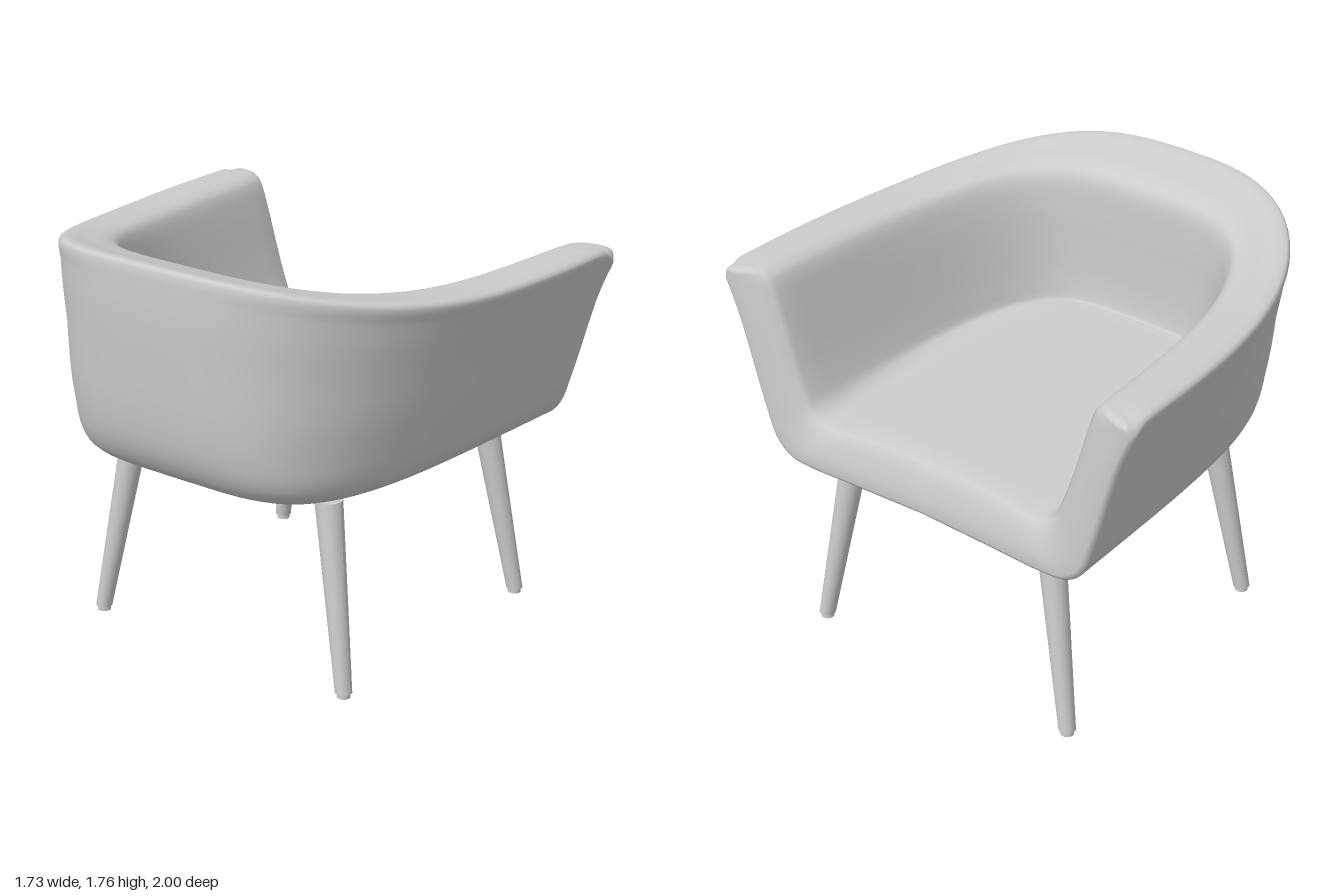
import * as THREE from 'three';
import { mergeVertices } from 'three/addons/utils/BufferGeometryUtils.js';

const material = new THREE.MeshStandardMaterial({ color: 0xcccccc, roughness: 0.8 });

// Profile of the shell, from under the seat, over the rim, to the top of the seat:
// [half width, x of the back, height, squareness of the back corners, narrowing to the back]
const PROFILE = [
  [0, -0.25, 0.822, 5, 0.08], [0.35, -0.4, 0.81, 5, 0.08], [0.61, -0.55, 0.802, 5, 0.08],
  [0.7, -0.63, 0.815, 4.8, 0.08], [0.78, -0.755, 0.885, 4.2, 0.06], [0.835, -0.83, 1.04, 3.5, 0.04],
  [0.915, -0.86, 1.32, 3, 0.02], [0.98, -0.867, 1.53, 2.8, 0.01], [1, -0.862, 1.59, 2.8, 0.01],
  [0.985, -0.845, 1.61, 2.8, 0.01], [0.9, -0.74, 1.615, 3, 0.05],
  [0.83, -0.62, 1.61, 3.4, 0.1], [0.79, -0.57, 1.58, 3.6, 0.1], [0.75, -0.555, 1.47, 3.6, 0.1],
  [0.7, -0.55, 1.3, 3.7, 0.1], [0.645, -0.54, 1.14, 3.8, 0.09], [0.6, -0.515, 1.05, 4, 0.08],
  [0.53, -0.46, 1.015, 4, 0.08], [0.4, -0.38, 1.032, 4, 0.08], [0.2, -0.3, 1.05, 4, 0.08],
  [0, -0.25, 1.055, 4, 0.08],
];
const STEPS = 4, ROWS = (PROFILE.length - 1) * STEPS, COLS = 64;

// Front cap: [share of the way from outside to inside, x]
const CAP = [[0, 0.845], [0.04, 0.859], [0.1, 0.865], [0.35, 0.865], [0.75, 0.84], [0.92, 0.815], [1, 0.79]];

const { clamp, lerp, smoothstep } = THREE.MathUtils;

// One U-shaped horizontal ring for each profile point
function shellRings() {
  const curve = new THREE.CatmullRomCurve3(PROFILE.map(p => new THREE.Vector3(p[0], p[1], p[2])), false, 'centripetal');
  const rings = [];
  for (let j = 0; j <= ROWS; j++) {
    const p = curve.getPoint(j / ROWS), k = j / STEPS;
    const lo = PROFILE[Math.floor(k)], hi = PROFILE[Math.ceil(k)];
    const [power, narrowing] = [3, 4].map(n => lerp(lo[n], hi[n], k % 1));
    const width = Math.max(0, p.x);
    const front = k <= 8 ? 0.845 : Math.max(0.79, lerp(0.845, 0.79, (k - 8) / 2));
    const ring = [];
    for (let i = 0; i <= COLS; i++) {
      // columns gather towards the front edges
      const u = i / COLS, a = Math.PI * lerp(u, smoothstep(u, 0, 1), 0.9), c = Math.cos(a);
      const s = Math.pow(Math.abs(Math.sin(a)), 2 / power);
      const x = front - (front - p.y) * s;
      const z = width * (1 - narrowing * s) * Math.sign(c) * Math.pow(Math.abs(c), 2 / power);
      // the rim rises towards the back and dips at the ends of the arms
      const rise = 0.15 * Math.pow(Math.max(0, 0.3 - x) / 1.15, 2.5) * clamp((p.z - 1) / 0.6, 0, 1);
      const dip = 0.05 * Math.pow(clamp((x - 0.76) / 0.1, 0, 1), 2) * clamp((p.z - 1.4) / 0.15, 0, 1);
      // the seat levels out towards the back
      const level = clamp((0.79 - x) / 1.2, 0, 1) * clamp(k - 15, 0, 1);
      ring.push([x, lerp(p.z, Math.max(p.z, 1.08), level) + rise - dip, z]);
    }
    rings.push(ring);
  }
  return rings;
}

function shellGeometry() {
  const positions = [], index = [];
  const addGrid = (rows, flip) => {
    const start = positions.length / 3, n = rows[0].length;
    rows.forEach(row => row.forEach(p => positions.push(...p)));
    for (let j = 0; j < rows.length - 1; j++) {
      for (let i = 0; i < n - 1; i++) {
        const a = start + j * n + i, b = a + n, c = b + 1, d = a + 1;
        if (flip) index.push(a, d, c, a, c, b);
        else index.push(a, b, c, a, c, d);
      }
    }
  };
  const rings = shellRings();
  addGrid(rings, false);

  // front faces of the two halves, bulging between outer and inner edge
  for (const i of [0, COLS]) {
    const rows = [];
    for (let j = 0; j <= ROWS / 2; j++) {
      const o = rings[j][i], n = rings[ROWS - j][i];
      const gap = clamp(Math.hypot(o[1] - n[1], o[2] - n[2]) / 0.17, 0, 1);
      rows.push(CAP.map(([v, x]) => [
        lerp(lerp(o[0], n[0], v), x, v === 0 || v === 1 ? 0 : gap),
        lerp(o[1], n[1], v),
        lerp(o[2], n[2], v),
      ]));
    }
    addGrid(rows, i === 0);
  }
  let geometry = new THREE.BufferGeometry();
  geometry.setAttribute('position', new THREE.Float32BufferAttribute(positions, 3));
  geometry.setIndex(index);
  geometry = mergeVertices(geometry, 1e-4);
  geometry.computeVertexNormals();
  return geometry;
}

// Tapered cylinder, slanted so that both ends stay level
function slantedCylinder(top, bottom, topRadius, bottomRadius) {
  const h = top.y - bottom.y;
  const geometry = new THREE.CylinderGeometry(topRadius, bottomRadius, h, 24);
  geometry.translate(0, h / 2, 0);
  geometry.applyMatrix4(new THREE.Matrix4().set(
    1, (top.x - bottom.x) / h, 0, bottom.x,
    0, 1, 0, bottom.y,
    0, (top.z - bottom.z) / h, 1, bottom.z,
    0, 0, 0, 1));
  geometry.computeVertexNormals();
  return geometry;
}

function addMesh(parent, name, geometry) {
  const mesh = new THREE.Mesh(geometry, material);
  mesh.name = name;
  parent.add(mesh);
}

export function createModel() {
  const chair = new THREE.Group();
  chair.name = 'tubArmchair';
  addMesh(chair, 'upholsteredShell', shellGeometry());

  // four splayed legs with small glides
  for (const [name, topX, bottomX] of [['frontLeg', 0.692, 0.764], ['backLeg', -0.396, -0.466]]) {
    for (const side of [1, -1]) {
      const leg = new THREE.Group();
      leg.name = name;
      const top = new THREE.Vector3(topX, 0.793, 0.507 * side);
      const foot = new THREE.Vector3(bottomX, 0.02, 0.64 * side);
      addMesh(leg, 'legPost', slantedCylinder(top, foot, 0.057, 0.035));
      addMesh(leg, 'legGlide', slantedCylinder(foot, foot.clone().setY(0), 0.028, 0.028));
      chair.add(leg);
    }
  }
  return chair;
}
